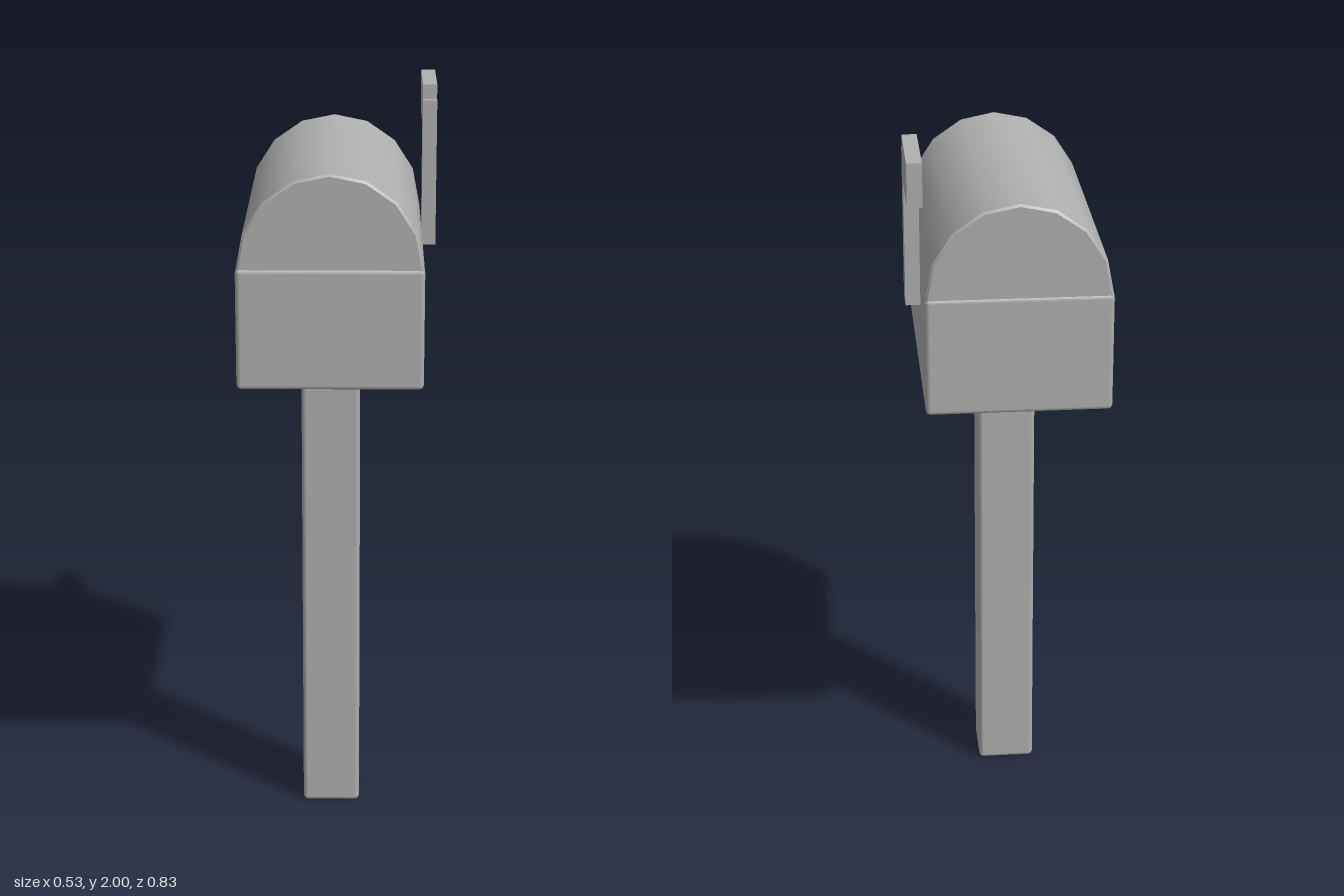
import * as THREE from 'three';
import { toCreasedNormals } from 'three/addons/utils/BufferGeometryUtils.js';
import { RoundedBoxGeometry } from 'three/addons/geometries/RoundedBoxGeometry.js';

const grey = new THREE.MeshStandardMaterial({ color: 0xb0b0b0 });
grey.name = 'grey';

function addPart(group, name, geometry) {
  const mesh = new THREE.Mesh(geometry, grey);
  mesh.name = name;
  group.add(mesh);
}

// Softly chamfered box given by its minimum and maximum corners
function chamferedBox(min, max, radius) {
  const [w, h, d] = max.map((v, i) => v - min[i]);
  const [x, y, z] = max.map((v, i) => (v + min[i]) / 2);
  return new RoundedBoxGeometry(w, h, d, 1, radius).translate(x, y, z);
}

export function createModel() {
  const group = new THREE.Group();
  group.name = 'mailbox';

  // Square post and the lower body
  addPart(group, 'post', chamferedBox([-0.102, 0, 0.016], [0.056, 1.33, 0.175], 0.012));
  addPart(group, 'lowerBody', chamferedBox([-0.263, 1.312, -0.394], [0.222, 1.632, 0.415], 0.012));

  // Arched lid: eight facets across the half circle, smooth along the arch
  const cx = -0.0205, baseY = 1.628, rx = 0.241, ry = 0.25;
  const points = [new THREE.Vector2(cx - rx, 1.6), new THREE.Vector2(cx + rx, 1.6)];
  for (let i = 0; i <= 8; i++) {
    const a = (i / 8) * Math.PI;
    points.push(new THREE.Vector2(cx + rx * Math.cos(a), baseY + ry * Math.sin(a)));
  }
  const bevel = 0.006, back = -0.39, front = 0.408;
  const lid = new THREE.ExtrudeGeometry(new THREE.Shape(points), {
    depth: front - back - 2 * bevel, bevelEnabled: true, bevelSegments: 1,
    bevelSize: bevel, bevelThickness: bevel, bevelOffset: -bevel,
  }).translate(0, 0, back + bevel);
  addPart(group, 'archedLid', toCreasedNormals(lid, 0.6));

  // Signal flag: stem with an arm reaching back, drawn in (-z, y)
  const outline = [
    [0.155, 1.557], [0.23, 1.557], [0.23, 1.886], [0.415, 1.886],
    [0.415, 2], [0.176, 2], [0.176, 1.96], [0.155, 1.96],
  ].map(([u, y]) => new THREE.Vector2(u, y));
  const flag = new THREE.ExtrudeGeometry(new THREE.Shape(outline), { depth: 0.039, bevelEnabled: false })
    .rotateY(Math.PI / 2)
    .translate(0.224, 0, 0);
  addPart(group, 'signalFlag', flag);

  return group;
}
